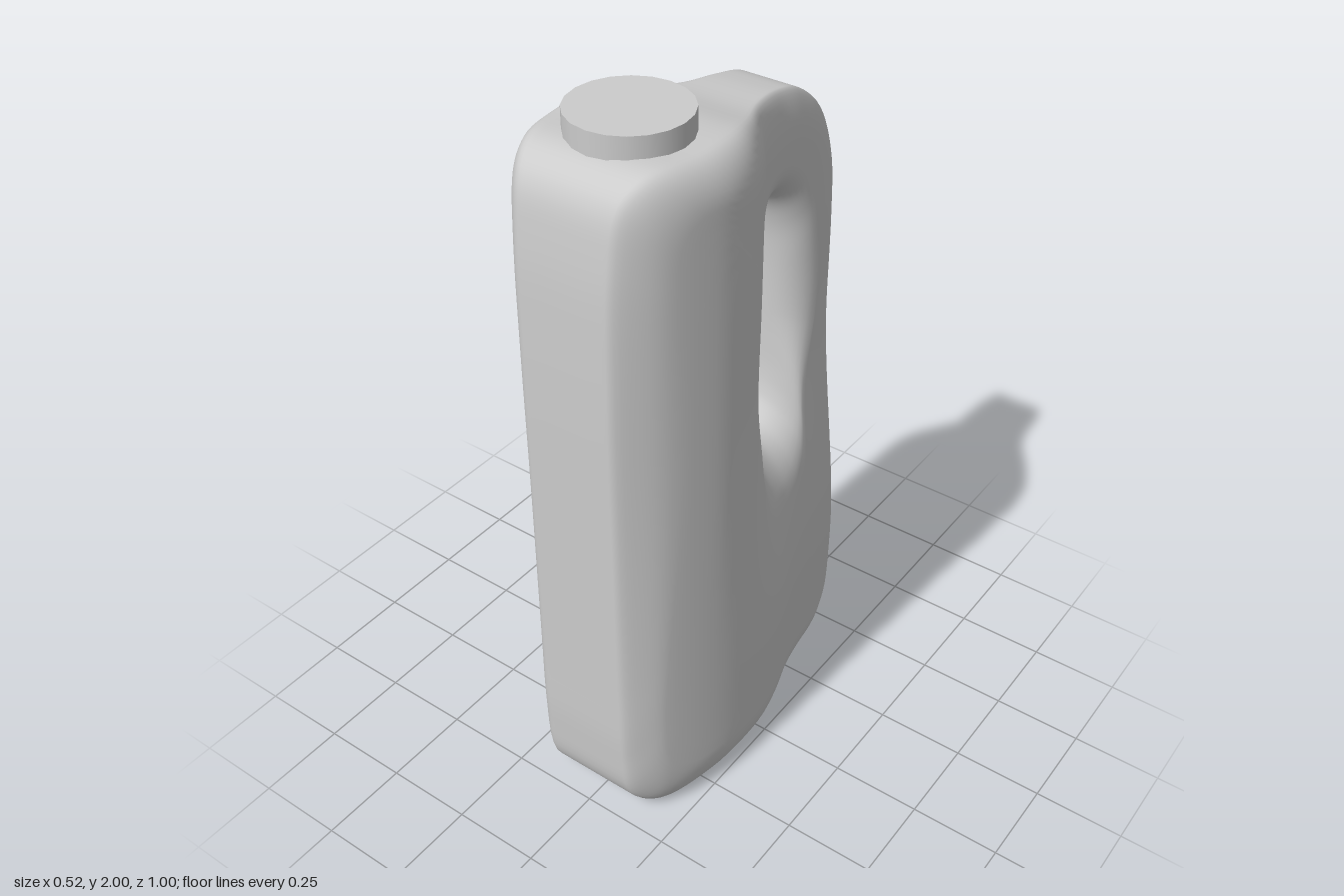
import * as THREE from 'three';

// Paired outline and handle-hole points, [outer z, outer y, hole z, hole y]
const OUTLINE = [
  [-0.2, 1.888, -0.2, 1.585], [-0.05, 1.905, -0.15, 1.57], [0.1, 1.937, -0.12, 1.52],
  [0.25, 1.943, -0.105, 1.46], [0.39, 1.94, -0.097, 1.41], [0.455, 1.89, -0.093, 1.37],
  [0.485, 1.75, -0.091, 1.33], [0.498, 1.45, -0.09, 1.27], [0.5, 1.0, -0.09, 1.18],
  [0.5, 0.5, -0.09, 1.1], [0.497, 0.25, -0.093, 1.05], [0.475, 0.09, -0.1, 0.99],
  [0.4, 0.015, -0.11, 0.95], [0.25, 0, -0.13, 0.91], [0, 0, -0.165, 0.885],
  [-0.2, 0, -0.2, 0.875], [-0.33, 0.005, -0.24, 0.885], [-0.42, 0.03, -0.275, 0.92],
  [-0.475, 0.1, -0.29, 0.96], [-0.493, 0.25, -0.3, 1.02], [-0.495, 0.7, -0.305, 1.1],
  [-0.495, 1.1, -0.308, 1.2], [-0.493, 1.45, -0.308, 1.36], [-0.475, 1.62, -0.3, 1.46],
  [-0.41, 1.77, -0.28, 1.53], [-0.3, 1.86, -0.25, 1.57],
];

// Half-widths from back (z = -0.5) to front (z = 0.5), in steps of 0.1
const widthCurve = (list) => new THREE.SplineCurve(list.map((w, i) => new THREE.Vector2(i, w)));
const LOWER = widthCurve([0.15, 0.16, 0.172, 0.197, 0.232, 0.257, 0.262, 0.256, 0.237, 0.207, 0.165]);
const UPPER = widthCurve([0.102, 0.104, 0.105, 0.11, 0.135, 0.195, 0.242, 0.254, 0.237, 0.207, 0.165]);

// The back narrows into a slim grip higher up
function halfWidth(z, y) {
  const t = THREE.MathUtils.clamp(z + 0.5, 0, 1);
  const k = THREE.MathUtils.smoothstep(y, 0.4, 1.2);
  return THREE.MathUtils.lerp(LOWER.getPoint(t).y, UPPER.getPoint(t).y, k);
}

// Half of one cross-section, from the hole (x = 0) out to the outer wall (x = 0)
function halfSection(hole, outer) {
  const { smoothstep } = THREE.MathUtils;
  const length = hole.distanceTo(outer);
  const holeRound = 0.1 + 0.08 * (1 - smoothstep(hole.y, 0.88, 1.1));
  const edgeRound = 0.08 + 0.07 * smoothstep(outer.z, -0.5, -0.1);
  const wall = 0.72, points = [];
  const add = (d, factor) => {
    const p = hole.clone().lerp(outer, d / length);
    p.x = factor * halfWidth(p.z, p.y);
    points.push(p);
  };
  for (let i = 0; i < 9; i++) {
    const a = (i / 9) * Math.PI / 2;
    add(holeRound * (1 - Math.cos(a)), Math.sin(a));
  }
  for (let i = 0; i < 14; i++) {
    add(THREE.MathUtils.lerp(holeRound, length - edgeRound, i / 14), 1);
  }
  for (let i = 0; i <= 9; i++) {
    const a = (i / 9) * Math.PI / 2;
    add(length - edgeRound * (1 - Math.sin(a)), wall + (1 - wall) * Math.cos(a));
  }
  for (const f of [0.92, 0.5, 0]) add(length, wall * f);
  return points;
}

// Sweep the closed cross-section once around the handle hole
function bodyGeometry() {
  const loop = (iz, iy) => new THREE.CatmullRomCurve3(
    OUTLINE.map((p) => new THREE.Vector3(0, p[iy], p[iz])), true);
  const outerCurve = loop(0, 1), holeCurve = loop(2, 3);
  const around = OUTLINE.length * 6;
  const positions = [], index = [];
  let n = 0;
  for (let i = 0; i < around; i++) {
    const half = halfSection(holeCurve.getPoint(i / around), outerCurve.getPoint(i / around));
    const mirrored = half.slice(1, -1).reverse().map((p) => new THREE.Vector3(-p.x, p.y, p.z));
    const ring = [...half, ...mirrored];
    n = ring.length;
    ring.forEach((p) => positions.push(p.x, p.y, p.z));
  }
  for (let i = 0; i < around; i++) {
    for (let j = 0; j < n; j++) {
      const i2 = (i + 1) % around, j2 = (j + 1) % n;
      const a = i * n + j, b = i * n + j2, c = i2 * n + j2, d = i2 * n + j;
      index.push(a, b, c, a, c, d);
    }
  }
  const geometry = new THREE.BufferGeometry();
  geometry.setAttribute('position', new THREE.Float32BufferAttribute(positions, 3));
  geometry.setIndex(index);
  geometry.computeVertexNormals();
  return geometry;
}

export function createModel() {
  const group = new THREE.Group();
  group.name = 'jug';
  const material = new THREE.MeshStandardMaterial({ color: 0xcccccc });

  // Bottle body with its moulded handle
  const body = new THREE.Mesh(bodyGeometry(), material);
  body.name = 'bodyWithHandle';
  group.add(body);

  // Round cap over the filling opening
  const cap = new THREE.Mesh(new THREE.CylinderGeometry(0.148, 0.148, 0.1, 20), material);
  cap.name = 'cap';
  cap.position.set(0, 1.95, 0.24);
  group.add(cap);

  return group;
}
